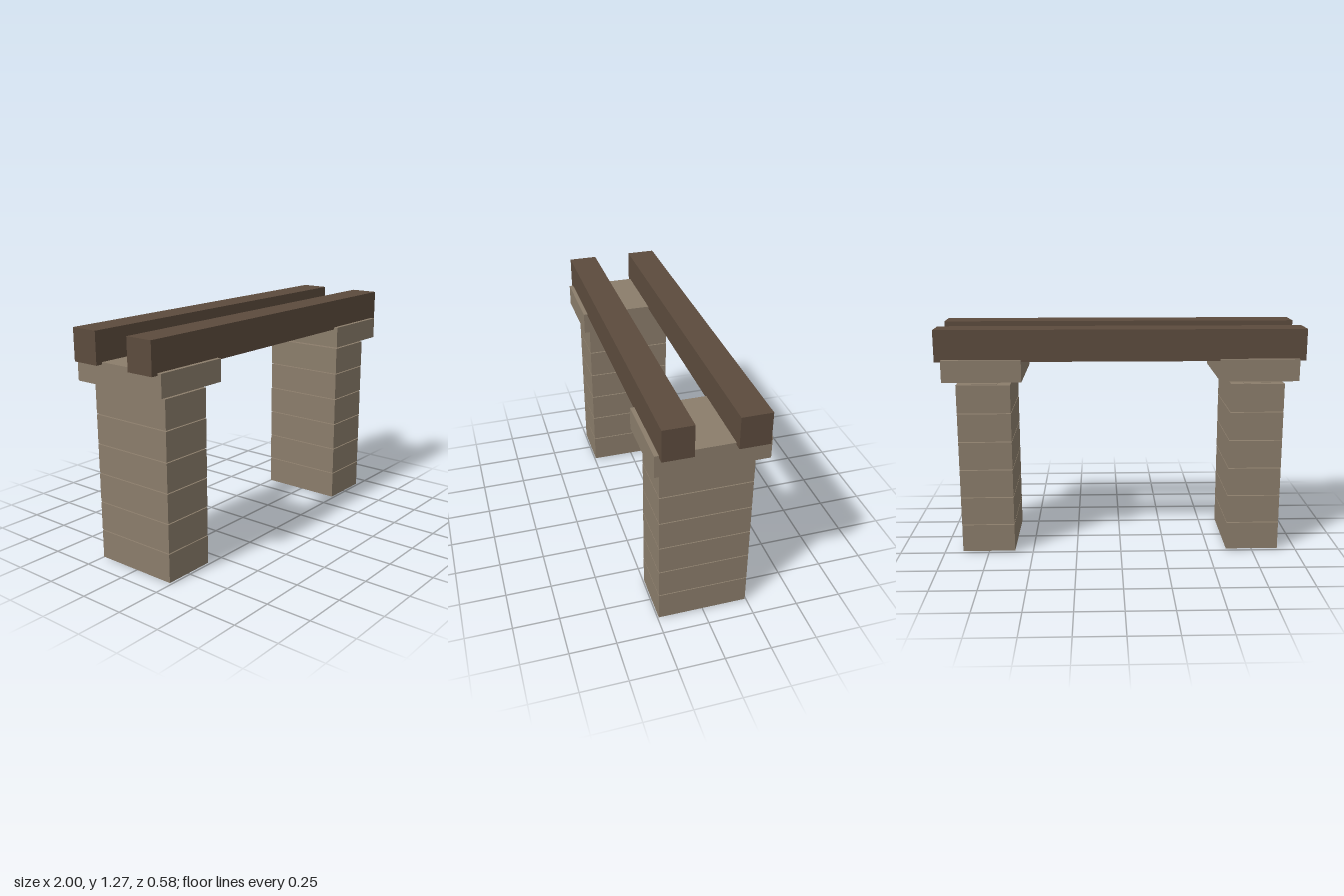
import * as THREE from 'three';

export function createModel() {
  const model = new THREE.Group();
  model.name = 'stoneAndTimberFrame';

  const stone = new THREE.MeshStandardMaterial({ color: 0x8b7d6b });
  stone.name = 'stone';
  const timber = new THREE.MeshStandardMaterial({ color: 0x5c4b3d });
  timber.name = 'darkTimber';

  // Box from its size, the centre in x and z, and the height of its underside
  function box(parent, name, material, [w, h, d], x, bottom, z = 0) {
    const mesh = new THREE.Mesh(new THREE.BoxGeometry(w, h, d), material);
    mesh.name = name;
    mesh.position.set(x, bottom + h / 2, z);
    parent.add(mesh);
  }

  // Two pillars of six stacked blocks around a narrow core, each with a loose cap
  const courses = 6, pitch = 0.1608;
  for (const side of [-1, 1]) {
    const pillar = new THREE.Group();
    pillar.name = side > 0 ? 'leftPillar' : 'rightPillar';
    pillar.position.x = side * 0.749;
    for (let i = 0; i < courses; i++) {
      box(pillar, 'block', stone, [0.294, 0.1555, 0.486], 0, 0.007 + i * pitch, 0.002);
    }
    box(pillar, 'core', stone, [0.147, 0.969, 0.444], 0, 0, 0.002);
    box(pillar, 'cap', stone, [0.428, 0.12, 0.577], 0, 0.99);
    model.add(pillar);
  }

  // Two parallel beams, sunk slightly into the caps
  for (const side of [-1, 1]) {
    box(model, side > 0 ? 'frontBeam' : 'backBeam', timber, [2, 0.172, 0.158], 0, 1.098, side * 0.187);
  }
  return model;
}
